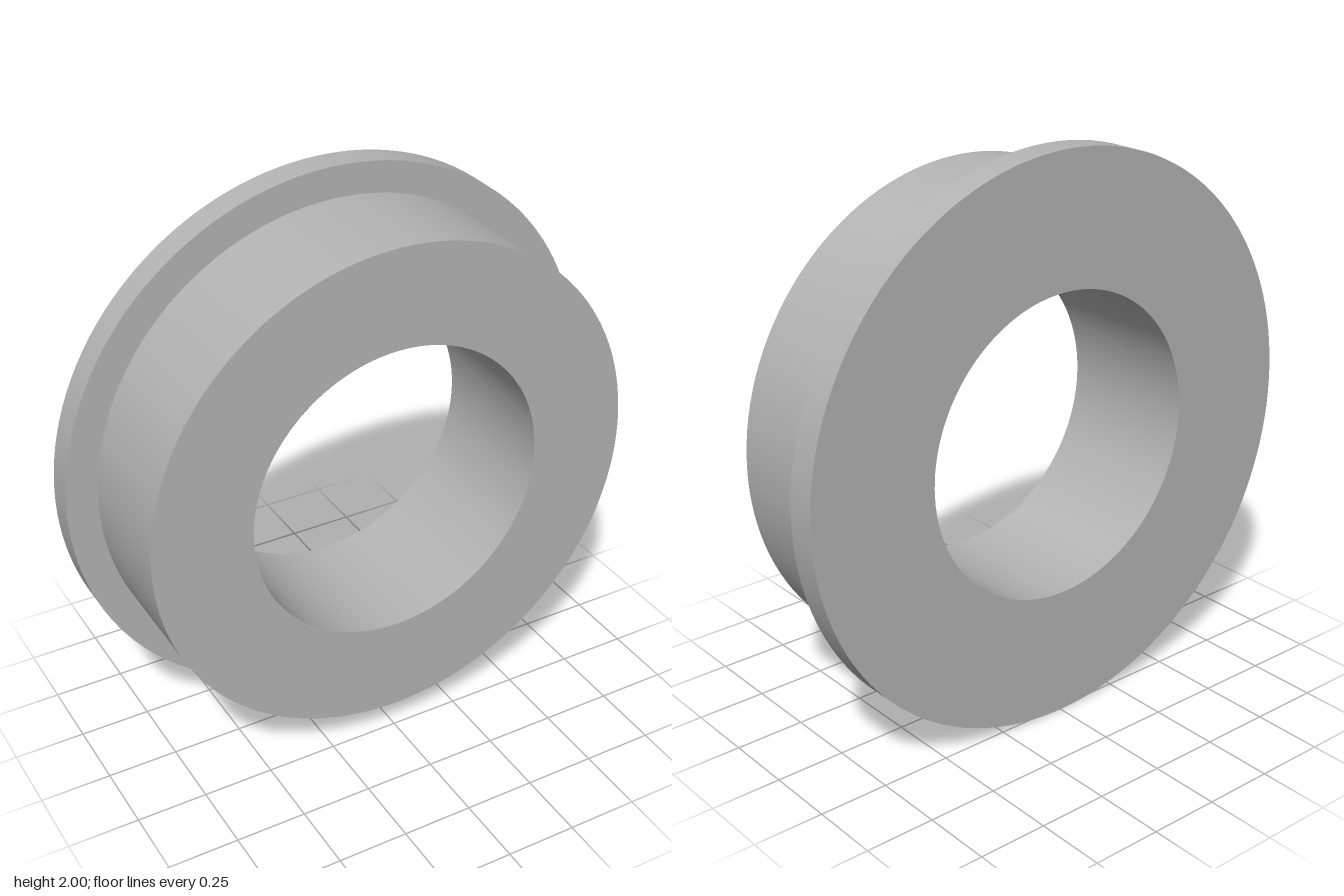
import * as THREE from 'three';
import { toCreasedNormals } from 'three/addons/utils/BufferGeometryUtils.js';

export function createModel() {
  const group = new THREE.Group();
  group.name = 'flangedBushing';

  const metal = new THREE.MeshStandardMaterial({ color: 0xb4b4b4 });
  metal.name = 'grey metal';

  const bore = 0.537, body = 0.89, flange = 1;
  const back = -0.265, step = -0.16, front = 0.265;

  // Closed cross-section (radius, depth): back face, flange rim, shoulder, sleeve, front face, bore
  const profile = [
    [bore, back], [flange, back], [flange, step],
    [body, step], [body, front], [bore, front], [bore, back],
  ].map(([r, z]) => new THREE.Vector2(r, z));

  // Turn the section, then lay its axis along z
  const turned = new THREE.LatheGeometry(profile, 128);
  turned.rotateX(Math.PI / 2);
  const ring = new THREE.Mesh(toCreasedNormals(turned, Math.PI / 6), metal);
  ring.name = 'flangedRing';
  ring.position.y = flange;
  group.add(ring);

  return group;
}
